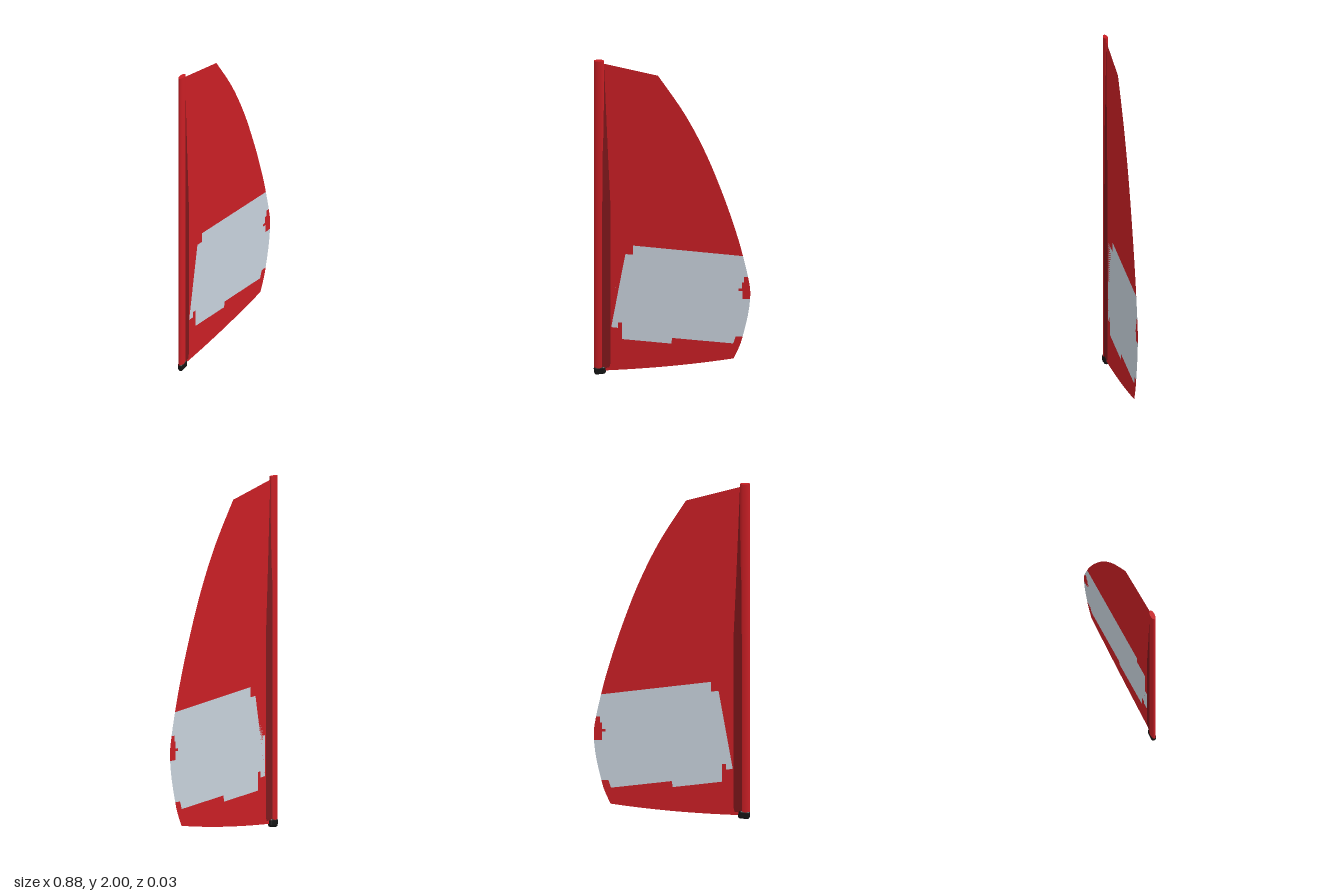
import * as THREE from 'three';
import { RoundedBoxGeometry } from 'three/addons/geometries/RoundedBoxGeometry.js';

const V = (x, y) => new THREE.Vector2(x, y);
const pts = (list) => list.map(([x, y]) => V(x, y));
const mat = (color) => new THREE.MeshStandardMaterial({ color, side: THREE.DoubleSide });

// Curved trailing edge of the sail, from head to lower corner
const leech = new THREE.SplineCurve(pts([
  [-0.08, 1.905], [0.07, 1.66], [0.19, 1.405], [0.29, 1.13], [0.36, 0.90],
  [0.396, 0.757], [0.425, 0.62], [0.437, 0.52], [0.425, 0.39], [0.394, 0.245], [0.375, 0.18], [0.343, 0.105],
])).getPoints(220);

// Part of the trailing edge between two heights, with exact end points
function edge(top, bottom) {
  const at = (y) => {
    const i = Math.max(1, leech.findIndex((p) => p.y <= y + 1e-6));
    const a = leech[i - 1], b = leech[i];
    return a.clone().lerp(b, (a.y - y) / (a.y - b.y));
  };
  return [at(top), ...leech.filter((p) => p.y < top - 1e-4 && p.y > bottom + 1e-4), at(bottom)];
}

function panel(name, outline, material) {
  const mesh = new THREE.Mesh(new THREE.ShapeGeometry(new THREE.Shape(outline)), material);
  mesh.name = name;
  return mesh;
}

export function createModel() {
  const group = new THREE.Group();
  group.name = 'sail';
  const red = mat(0xc81e24);
  const darkRed = mat(0x7c161a);
  const clear = mat(0xc6d0da);
  const black = mat(0x151515);

  // Stepped window border, from upper right round the luff to lower right
  const border = pts([
    [-0.22, 0.822], [-0.22, 0.764], [-0.32, 0.772], [-0.32, 0.534], [-0.342, 0.534],
    [-0.342, 0.302], [-0.304, 0.297], [-0.304, 0.332], [-0.283, 0.332], [-0.283, 0.226],
    [-0.006, 0.198], [0, 0.234], [0.341, 0.2], [0.355, 0.245],
  ]);
  // Stepped reinforcement at the window's trailing edge, bottom to top
  const patchSteps = pts([
    [0.392, 0.485], [0.392, 0.535], [0.37, 0.535], [0.37, 0.55], [0.39, 0.55],
    [0.39, 0.59], [0.402, 0.59], [0.402, 0.625],
  ]);

  // Cloth surrounding the window
  const foot = new THREE.QuadraticBezierCurve(V(0.343, 0.105), V(0, 0.045), V(-0.39, 0.025)).getPoints(12);
  panelAdd('sailCloth', [V(-0.40, 1.985), ...edge(1.905, 0.757), ...border, ...edge(0.245, 0.105), ...foot.slice(1)], red);
  panelAdd('sailWindow', [
    ...edge(0.757, 0.625), ...patchSteps.slice().reverse(), ...edge(0.485, 0.245), ...border.slice().reverse(),
  ], clear);
  panelAdd('windowPatch', [...edge(0.625, 0.485), ...patchSteps], red);

  function panelAdd(name, outline, material) {
    group.add(panel(name, outline, material));
  }

  // Oval mast
  const mastGeo = new THREE.CylinderGeometry(0.0285, 0.0285, 1.96, 32);
  mastGeo.scale(1, 1, 0.013 / 0.0285);
  const mast = new THREE.Mesh(mastGeo, red);
  mast.name = 'mast';
  mast.position.set(-0.4105, 1.02, 0);
  group.add(mast);

  // Tapering sleeve flanks joining the mast to the cloth, mirrored front and back
  const sleeveLevels = [[0.045, -0.352], [0.07, -0.347], [1.1, -0.347], [1.4, -0.36], [1.99, -0.383]];
  for (const side of [1, -1]) {
    const pos = [], idx = [];
    sleeveLevels.forEach(([y, tail], i) => {
      pos.push(-0.395, y, side * 0.0105, tail, y, side * 0.001);
      if (i) {
        const a = 2 * i - 2, b = a + 1, c = a + 2, d = a + 3;
        idx.push(...(side > 0 ? [a, b, d, a, d, c] : [a, d, b, a, c, d]));
      }
    });
    const geo = new THREE.BufferGeometry();
    geo.setAttribute('position', new THREE.Float32BufferAttribute(pos, 3));
    geo.setIndex(idx);
    geo.computeVertexNormals();
    const flank = new THREE.Mesh(geo, darkRed);
    flank.name = side > 0 ? 'frontSleeve' : 'backSleeve';
    group.add(flank);
  }

  // Rounded mast foot
  const mastFoot = new THREE.Mesh(new RoundedBoxGeometry(0.066, 0.05, 0.028, 4, 0.0135), black);
  mastFoot.name = 'mastFoot';
  mastFoot.position.set(-0.406, 0.029, 0);
  mastFoot.rotation.z = 0.12;
  group.add(mastFoot);

  return group;
}
